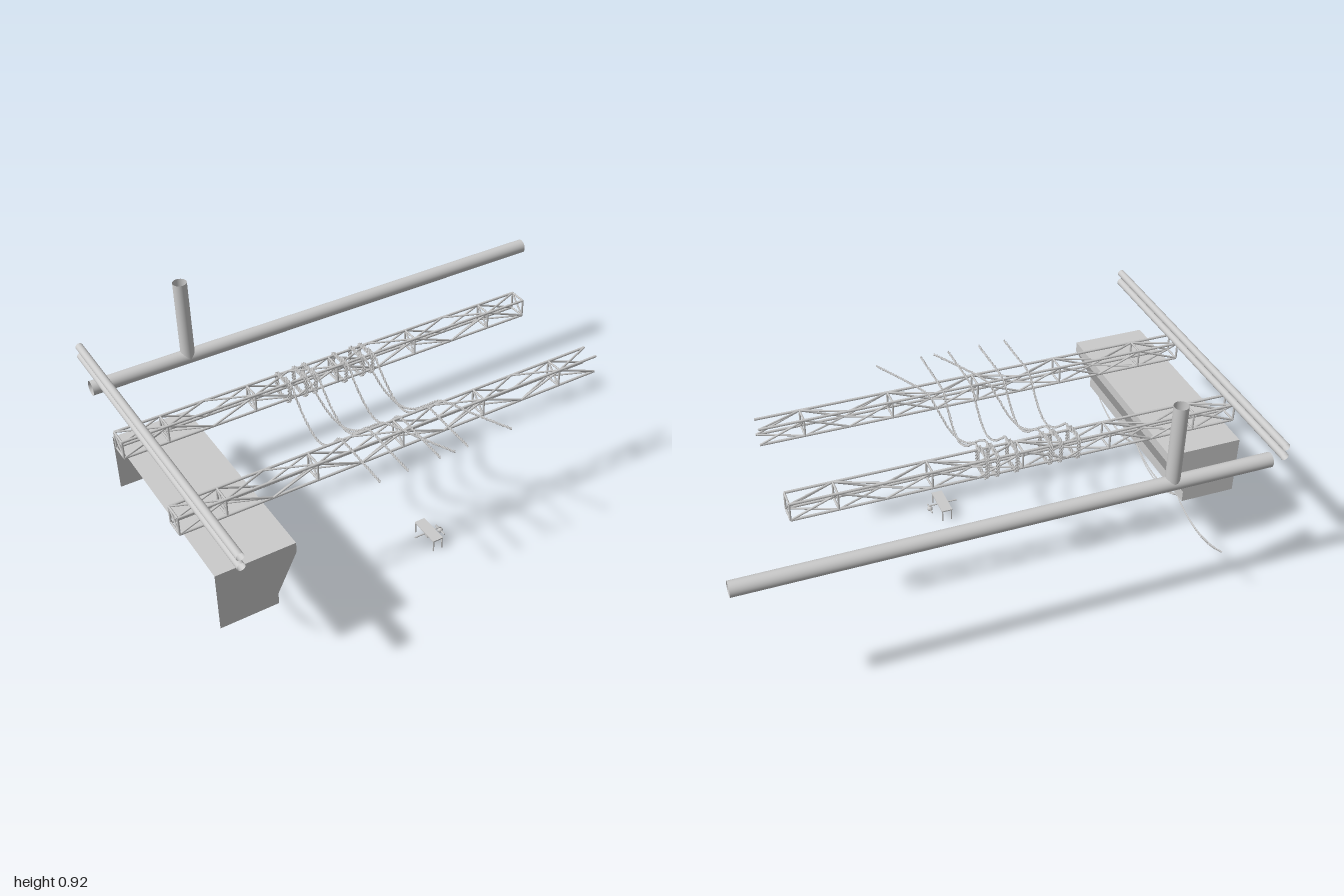
import * as THREE from 'three';

const V = (x, y, z) => new THREE.Vector3(x, y, z);
const grey = new THREE.MeshStandardMaterial({ color: 0xcccccc });
const thin = new THREE.MeshStandardMaterial({ color: 0xcccccc, side: THREE.DoubleSide });

function add(parent, name, geometry, material = grey) {
  const mesh = new THREE.Mesh(geometry, material);
  mesh.name = name;
  parent.add(mesh);
  return mesh;
}

// Round bar between two points; an open one is a thin-walled pipe
function bar(parent, name, a, b, r, sides = 6, open = false) {
  const geometry = new THREE.CylinderGeometry(r, r, a.distanceTo(b), sides, 1, open);
  const mesh = add(parent, name, geometry, open ? thin : grey);
  mesh.position.copy(a).add(b).multiplyScalar(0.5);
  mesh.quaternion.setFromUnitVectors(V(0, 1, 0), b.clone().sub(a).normalize());
}

function box(parent, name, w, h, d, x, y, z) {
  add(parent, name, new THREE.BoxGeometry(w, h, d)).position.set(x, y, z);
}

// Square lattice truss along x, ten bays
function truss(z, endFrame) {
  const g = new THREE.Group();
  g.name = 'latticeTruss';
  const x0 = -0.996, x1 = 0.721, h = 0.0345, y = 0.579, r = 0.005, bays = 10;
  const at = (i, sy, sz) => V(x0 + (x1 - x0) * i / bays, y + sy * h, z + sz * h);
  const corners = [[1, 1], [1, -1], [-1, -1], [-1, 1]];
  corners.forEach(([sy, sz]) => bar(g, 'chord', at(0, sy, sz), at(bays, sy, sz), r));
  for (let i = 0; i <= bays; i++) {
    if (i % 2 || i === 0 || (i === bays && endFrame)) {
      corners.forEach((c, k) => {
        bar(g, 'frameBar', at(i, ...c), at(i, ...corners[(k + 1) % 4]), r * 0.8);
      });
      bar(g, 'frameDiagonal', at(i, 1, -1), at(i, -1, 1), r * 0.7);
    }
    if (i === bays) break;
    const s = i % 2 ? 1 : -1;
    for (const side of [1, -1]) {
      bar(g, 'sideDiagonal', at(i, s, side), at(i + 1, -s, side), r * 0.8);
      bar(g, 'flatDiagonal', at(i, side, s * side), at(i + 1, side, -s * side), r * 0.8);
    }
  }
  return g;
}

// Two strands twisted about a path
function rope(parent, points, twist) {
  const path = new THREE.CatmullRomCurve3(points, false, 'centripetal');
  const n = 240, frames = path.computeFrenetFrames(n, false);
  for (const phase of [0, Math.PI]) {
    const pts = [];
    for (let i = 0; i <= n; i++) {
      const a = phase + i / n * twist * Math.PI * 2;
      pts.push(path.getPointAt(i / n)
        .addScaledVector(frames.normals[i], Math.cos(a) * 0.0027)
        .addScaledVector(frames.binormals[i], Math.sin(a) * 0.0027));
    }
    add(parent, 'ropeStrand', new THREE.TubeGeometry(new THREE.CatmullRomCurve3(pts), n * 1.5, 0.0026, 5));
  }
}

// Ropes wound round the rear truss, sagging forward and over the front one
function ropes() {
  const g = new THREE.Group();
  g.name = 'hangingRopes';
  const list = [[-0.35, -0.35, 0], [-0.28, -0.05, 0.012], [-0.24, -0.24, 0.008],
    [-0.11, -0.11, 0], [-0.035, 0.19, 0.012], [0.005, 0.005, 0.004]];
  const hang = [[-0.10, 0.585], [-0.03, 0.527], [0.04, 0.499], [0.10, 0.512], [0.16, 0.56],
    [0.21, 0.615], [0.25, 0.622], [0.35, 0.618], [0.48, 0.613]];
  const wrap = [[-0.16, 0.621], [-0.243, 0.622], [-0.248, 0.616], [-0.248, 0.543], [-0.243, 0.537],
    [-0.165, 0.537], [-0.16, 0.543], [-0.16, 0.615], [-0.165, 0.62]];
  for (const [xa, xb, lift] of list) {
    const pts = [];
    for (let t = 0; t < 2; t++) {
      wrap.forEach(([z, y], i) => pts.push(V(xa - 0.007 + 0.007 * (t + i / wrap.length), y, z)));
    }
    pts.push(V(xa + 0.007, 0.625, -0.2), V(xa + 0.004, 0.622, -0.145));
    hang.forEach(([z, y]) => {
      const k = (z + 0.145) / 0.625;
      const dip = z < 0.2 ? lift : 0;
      pts.push(V(xa + (xb - xa) * Math.pow(k, 1.45), y + dip, z));
    });
    rope(g, pts, 55);
  }
  return g;
}

// Hood: sheet bent along its profile, open at the back and below
function hood() {
  const g = new THREE.Group();
  g.name = 'hood';
  const z0 = -0.335, z1 = 0.5, foot = 0.285;
  const profile = [[-0.976, 0.52], [-0.684, 0.52], [-0.684, 0.48], [-0.76, 0.33], [-0.76, foot]];
  for (let i = 0; i < profile.length - 1; i++) {
    const [ax, ay] = profile[i], [bx, by] = profile[i + 1];
    const geo = new THREE.BufferGeometry();
    geo.setAttribute('position', new THREE.Float32BufferAttribute(
      [ax, ay, z0, ax, ay, z1, bx, by, z1, bx, by, z0], 3));
    geo.setIndex([0, 1, 2, 0, 2, 3]);
    geo.computeVertexNormals();
    add(g, 'hoodPanel', geo, thin);
  }
  const cheek = new THREE.Shape([...profile, [-0.976, foot]].map(p => new THREE.Vector2(...p)));
  for (const z of [z0, z1]) {
    add(g, 'hoodEnd', new THREE.ShapeGeometry(cheek), thin).position.z = z;
  }
  return g;
}

// Three cables in three shallow swags below the hood
function cables() {
  const g = new THREE.Group();
  g.name = 'swagCables';
  const sags = [[0.053, 0.046, 0.053], [0.046, 0.056, 0.046], [0.036, 0.033, 0.038]];
  sags.forEach((row, k) => {
    const pts = [];
    row.forEach((sag, lobe) => {
      for (let i = lobe ? 1 : 0; i <= 12; i++) {
        const t = i / 12;
        pts.push(V(-0.784 + (k - 1) * 0.003 * Math.sin(Math.PI * t),
          0.25 - sag * 4 * t * (1 - t), 0.452 - 0.3555 * (lobe + t)));
      }
    });
    add(g, 'cable', new THREE.TubeGeometry(new THREE.CatmullRomCurve3(pts), 108, 0.0024, 6));
  });
  return g;
}

// Small bench with a cross rod and a little crank
function bench() {
  const g = new THREE.Group();
  g.name = 'bench';
  box(g, 'benchTop', 0.044, 0.005, 0.13, 0.003, 0.049, 0);
  for (const sz of [-1, 1]) {
    for (const sx of [-1, 1]) box(g, 'benchLeg', 0.004, 0.047, 0.004, 0.003 + sx * 0.019, 0.0235, sz * 0.062);
  }
  bar(g, 'crossRod', V(-0.06, 0.041, 0), V(0.055, 0.041, 0), 0.003);
  bar(g, 'crankArm', V(0.055, 0.041, 0), V(0.055, 0.024, 0), 0.003);
  bar(g, 'crankHandle', V(0.055, 0.026, -0.03), V(0.055, 0.026, 0.03), 0.003);
  add(g, 'crankHub', new THREE.SphereGeometry(0.011, 12, 8)).position.set(0.055, 0.026, 0);
  box(g, 'benchBlock', 0.024, 0.026, 0.018, 0.003, 0.034, 0);
  g.position.set(0, 0, 0.253);
  return g;
}

export function createModel() {
  const model = new THREE.Group();
  model.name = 'overheadRigging';

  // Open pipes: rear main with riser, and a pair of side pipes
  bar(model, 'mainPipe', V(-0.96, 0.591, -0.558), V(1, 0.591, -0.558), 0.028, 32, true);
  bar(model, 'riserPipe', V(-0.57, 0.591, -0.557), V(-0.57, 0.918, -0.557), 0.027, 32, true);
  for (const y of [0.675, 0.716]) {
    bar(model, 'sidePipe', V(-0.948, y, -0.655), V(-0.948, y, 0.655), 0.0145, 24, true);
  }

  model.add(truss(0.254, false), truss(-0.206, true), ropes(), hood(), cables(), bench());
  return model;
}
